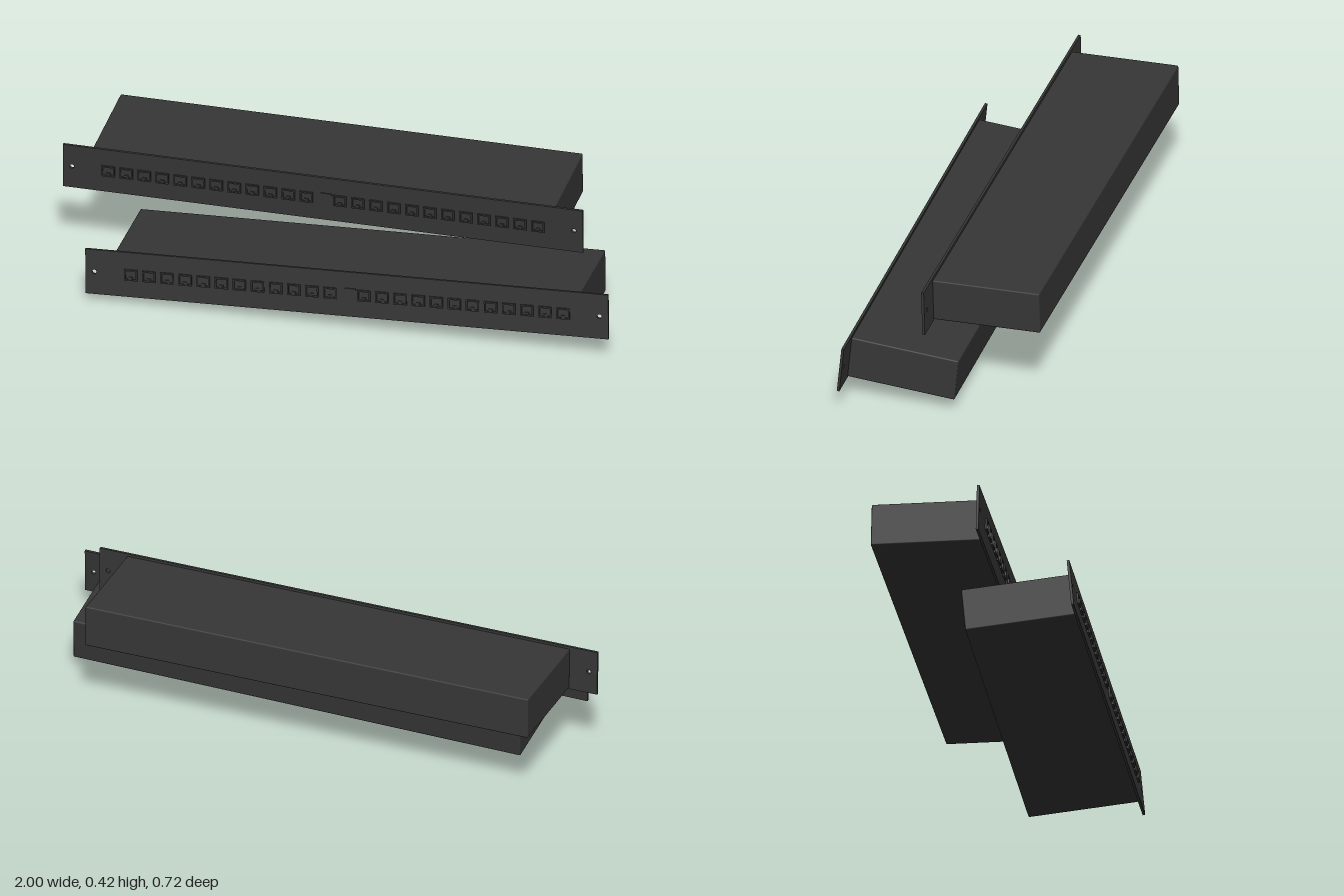
import * as THREE from 'three';
import { RoundedBoxGeometry } from 'three/addons/geometries/RoundedBoxGeometry.js';

const W = 1.833, H = 0.165, T = 0.009; // faceplate size
const charcoal = new THREE.MeshStandardMaterial({ color: 0x363636 });
charcoal.name = 'charcoal';

function rectPath(target, w, h) {
  target.moveTo(-w / 2, -h / 2);
  target.lineTo(w / 2, -h / 2);
  target.lineTo(w / 2, h / 2);
  target.lineTo(-w / 2, h / 2);
  target.closePath();
  return target;
}

// Flat faceplate with a mounting hole at each end
function faceplateGeometry() {
  const shape = rectPath(new THREE.Shape(), W, H);
  for (const s of [-1, 1]) {
    shape.holes.push(new THREE.Path().absarc(s * 0.885, 0, 0.008, 0, Math.PI * 2, true));
  }
  return new THREE.ExtrudeGeometry(shape, { depth: T, bevelEnabled: false, curveSegments: 8 });
}

// Raised rim of one socket, open in the middle
function rimGeometry() {
  const shape = rectPath(new THREE.Shape(), 0.046, 0.04);
  shape.holes.push(rectPath(new THREE.Path(), 0.036, 0.03));
  return new THREE.ExtrudeGeometry(shape, { depth: 0.006, bevelEnabled: false });
}

function createUnit(name) {
  const unit = new THREE.Group();
  unit.name = name;
  const add = (geometry, partName, x, y, z) => {
    const mesh = new THREE.Mesh(geometry, charcoal);
    mesh.name = partName;
    mesh.position.set(x, y, z);
    unit.add(mesh);
  };

  // Faceplate front lies on local z = 0
  add(faceplateGeometry(), 'faceplate', 0, 0, -T);
  add(new RoundedBoxGeometry(1.63, 0.152, 0.381, 2, 0.005), 'housing', 0, -0.001, -T - 0.1895);

  // Two banks of twelve sockets
  const rim = rimGeometry();
  const tab = new THREE.BoxGeometry(0.014, 0.008, 0.004);
  for (const start of [-0.757, 0.06]) {
    for (let i = 0; i < 12; i++) {
      const x = start + i * 0.0635;
      add(rim, 'socketRim', x, 0, 0);
      add(tab, 'socketLatch', x, -0.011, 0.002);
    }
  }

  // Small status bar between the banks
  add(new THREE.BoxGeometry(0.04, 0.006, 0.004), 'statusBar', 0.012, 0.02, 0.002);
  return unit;
}

export function createModel() {
  const model = new THREE.Group();
  model.name = 'rackPanels';

  const upper = createUnit('upperUnit');
  upper.position.set(-0.083, 0.347, 0.045);
  upper.rotation.set(0.025, 0.02, -0.001);

  const lower = createUnit('lowerUnit');
  lower.position.set(0.078, 0.142, 0.313);
  lower.rotation.set(-0.09, 0.043, 0.033);

  model.add(upper, lower);
  return model;
}
